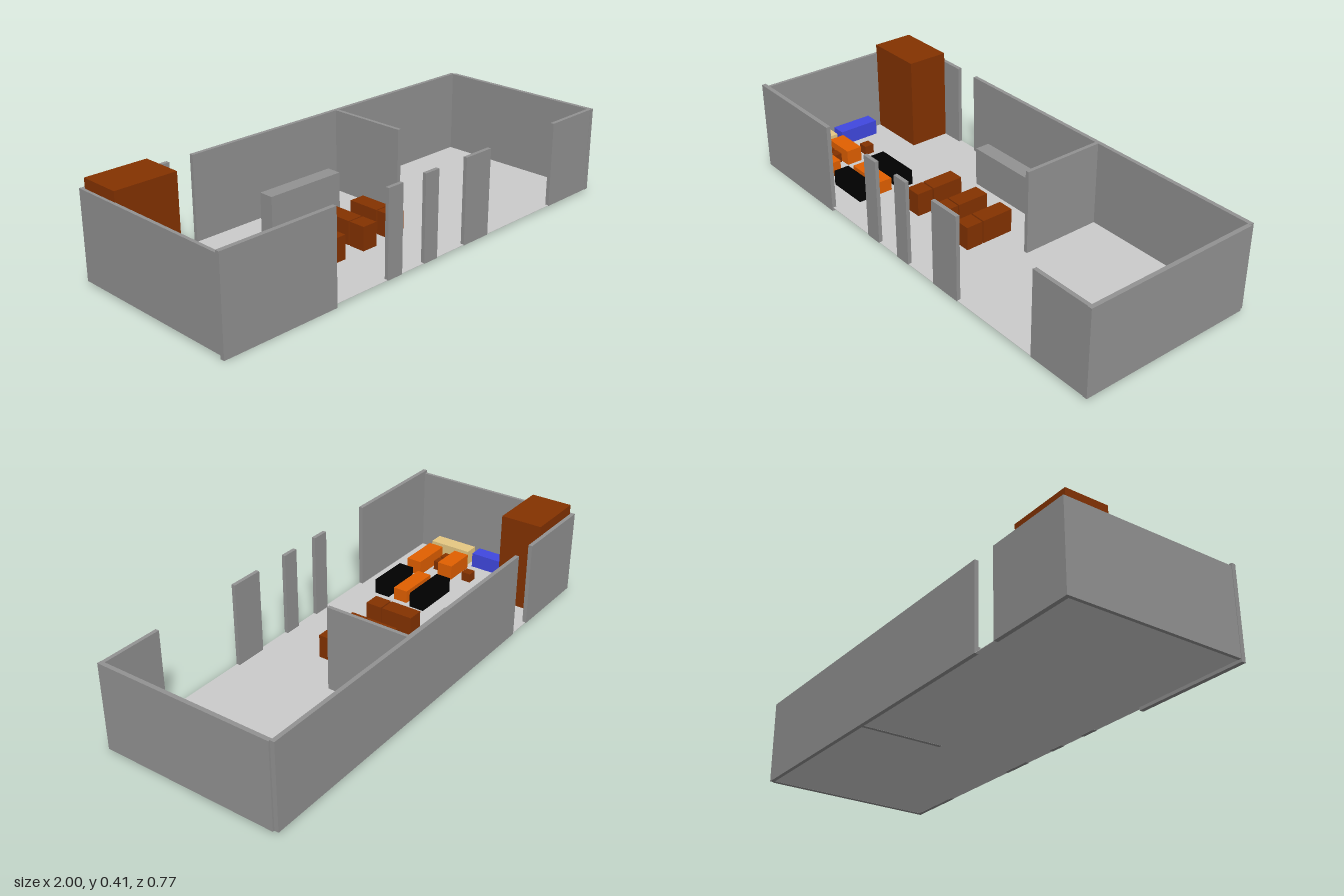
import * as THREE from 'three';

const GREY = 0xcccccc, WALL = 0x929292;
const BROWN = 0x843200, ORANGE = 0xe26000, BLACK = 0x000000, BLUE = 0x4048e0, TAN = 0xe6c882;
const BASE = 0.012, FLOOR = 0.0145, TOP = 0.37;

export function createModel() {
  const model = new THREE.Group();
  model.name = 'cafeInterior';
  const materials = {};

  // Axis-aligned block given by its extents
  function block(name, color, [x0, x1], [z0, z1], y1, y0 = FLOOR) {
    materials[color] ??= new THREE.MeshStandardMaterial({ color });
    const mesh = new THREE.Mesh(new THREE.BoxGeometry(x1 - x0, y1 - y0, z1 - z0), materials[color]);
    mesh.position.set((x0 + x1) / 2, (y0 + y1) / 2, (z0 + z1) / 2);
    mesh.name = name;
    model.add(mesh);
  }
  const wall = (name, xs, zs, y1 = TOP, y0 = BASE) => block(name, WALL, xs, zs, y1, y0);

  // Thin floor, slightly above the wall bases
  block('floor', GREY, [-0.995, 0.985], [-0.38, 0.38], FLOOR, 0.0128);

  // Front wall: one taller panel, then pillars between openings
  wall('frontWallTall', [-1, -0.5], [0.366, 0.384], 0.381, 0);
  for (const span of [[-0.245, -0.17], [-0.05, 0.022], [0.178, 0.32], [0.722, 0.99]])
    wall('frontPillar', span, [0.366, 0.382]);

  // Back wall with a doorway, side walls and partition
  for (const span of [[-0.998, -0.625], [-0.518, 0.99]])
    wall('backWall', span, [-0.383, -0.366]);
  wall('rightWall', [-0.998, -0.984], [-0.366, 0.366]);
  wall('leftWall', [0.979, 0.997], [-0.3655, 0.3835]);
  wall('partition', [0.23, 0.246], [-0.366, -0.014]);

  // Tall cabinet and service counter
  block('cabinet', BROWN, [-0.986, -0.723], [-0.365, -0.186], 0.411);
  block('counter', WALL, [-0.286, 0.079], [-0.258, -0.193], 0.182);

  // Three tables, each with a seat in front
  for (const x of [-0.264, -0.098, 0.053]) {
    block('table', BROWN, [x - 0.035, x + 0.035], [-0.069, 0.071], 0.115);
    block('seat', BROWN, [x - 0.035, x + 0.035], [0.077, 0.15], 0.115);
  }

  // Lounge: sofas either side of a low table
  block('sofaBack', BLACK, [-0.663, -0.453], [0.017, 0.085], 0.08);
  block('lowTable', ORANGE, [-0.655, -0.469], [0.112, 0.177], 0.07);
  block('sofaFront', BLACK, [-0.653, -0.467], [0.203, 0.272], 0.08);

  // Corner furniture along the side wall
  block('blueBench', BLUE, [-0.984, -0.921], [-0.122, 0.06], 0.08);
  block('paleBench', TAN, [-0.984, -0.921], [0.084, 0.275], 0.08);
  block('sideTable', ORANGE, [-0.897, -0.758], [0.069, 0.139], 0.08);
  block('sideTable', ORANGE, [-0.897, -0.713], [0.203, 0.272], 0.08);
  for (const [x, z] of [[-0.804, 0.009], [-0.874, 0.165], [-0.82, 0.165]])
    block('stool', BROWN, [x - 0.021, x + 0.021], [z - 0.021, z + 0.021], 0.055);

  return model;
}
